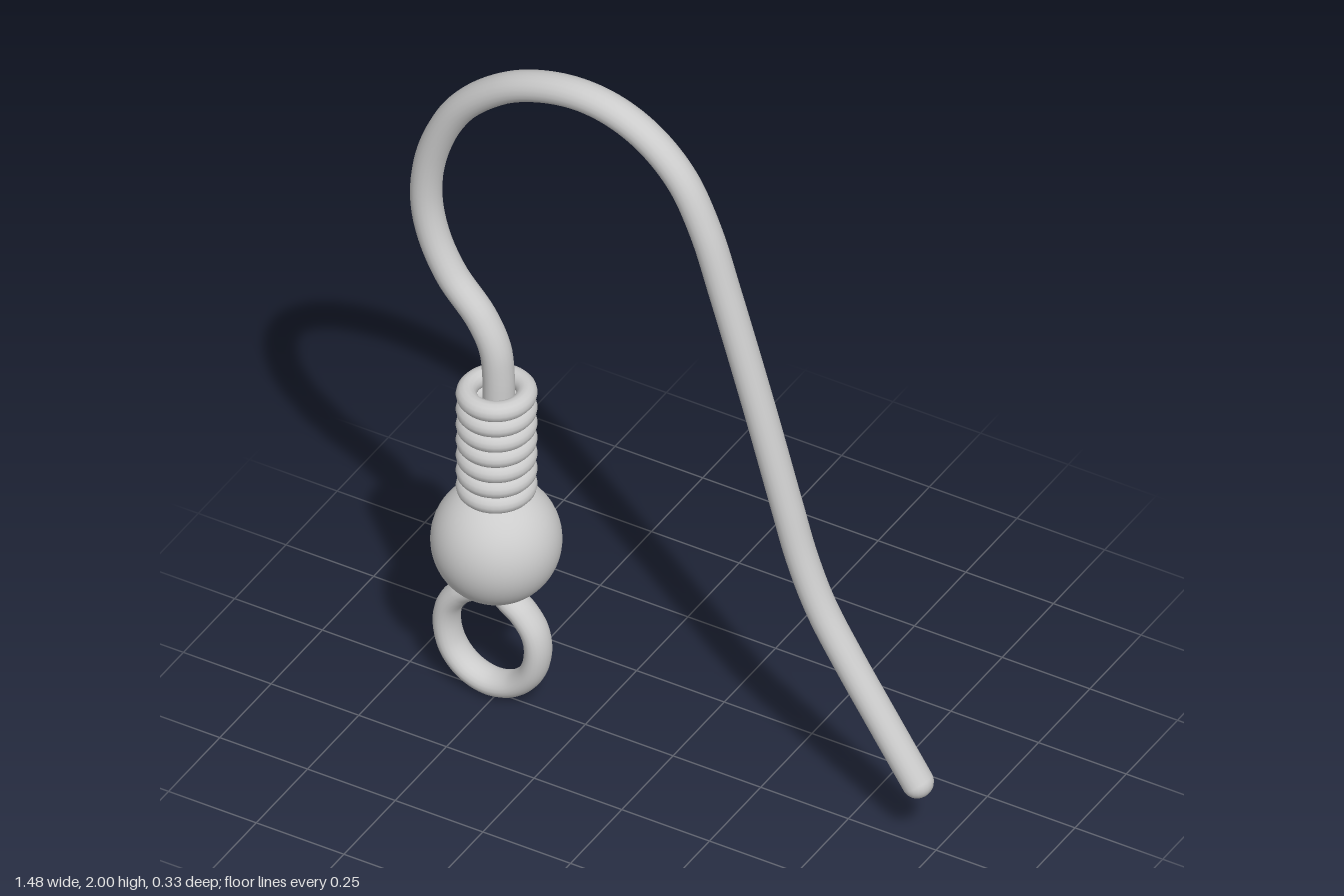
import * as THREE from 'three';

const material = new THREE.MeshStandardMaterial({ color: 0xcccccc });
const AXIS_X = -0.503; // vertical axis shared by coil and bead

function add(parent, name, geometry, x = 0, y = 0, z = 0) {
  const mesh = new THREE.Mesh(geometry, material);
  mesh.name = name;
  mesh.position.set(x, y, z);
  parent.add(mesh);
  return mesh;
}

// Round wire with domed ends, following points in the xy plane
function wire(name, points, radius, depthScale, segments) {
  const group = new THREE.Group();
  group.name = name;
  const path = new THREE.CatmullRomCurve3(points.map(([x, y]) => new THREE.Vector3(x, y, 0)), false, 'centripetal');
  add(group, name + 'Tube', new THREE.TubeGeometry(path, segments, radius, 20, false));
  for (const t of [0, 1]) {
    const p = path.getPoint(t);
    add(group, name + 'Tip', new THREE.SphereGeometry(radius, 20, 14), p.x, p.y, 0);
  }
  group.scale.z = depthScale;
  return group;
}

export function createModel() {
  const model = new THREE.Group();
  model.name = 'earringHook';

  // Long hook: up from the bead, over the arch and down the straight leg
  model.add(wire('hookWire', [
    [-0.5, 0.5], [-0.5, 0.75], [-0.498, 1.0], [-0.509, 1.08], [-0.548, 1.158], [-0.632, 1.258],
    [-0.685, 1.37], [-0.704, 1.49], [-0.681, 1.635], [-0.606, 1.785], [-0.484, 1.895],
    [-0.37, 1.945], [-0.257, 1.961], [-0.155, 1.944], [-0.06, 1.895], [0.026, 1.808], [0.092, 1.677],
    [0.15, 1.5], [0.246, 1.185], [0.325, 0.91], [0.368, 0.765], [0.422, 0.633], [0.5, 0.5],
    [0.6, 0.345], [0.698, 0.195],
  ], 0.039, 1.1, 220));

  // Stacked coil turns around the wire
  const coil = new THREE.Group();
  coil.name = 'coil';
  for (let i = 0; i < 7; i++) {
    const ring = add(coil, 'coilTurn', new THREE.TorusGeometry(0.074, 0.026, 14, 40), AXIS_X, 0.654 + i * 0.0475, 0);
    ring.rotation.x = Math.PI / 2;
    ring.scale.y = 1.04;
  }
  model.add(coil);

  // Bead with slightly flattened poles
  const profile = [new THREE.Vector2(0, -0.155)];
  for (let i = 0; i <= 28; i++) {
    const a = THREE.MathUtils.lerp(-1.2, 1.2, i / 28);
    profile.push(new THREE.Vector2(0.163 * Math.cos(a), 0.155 * Math.sin(a) / Math.sin(1.2)));
  }
  profile.push(new THREE.Vector2(0, 0.155));
  add(model, 'bead', new THREE.LatheGeometry(profile, 48), AXIS_X - 0.001, 0.484, 0);

  // Teardrop loop, mirrored about its own axis, both ends tucked into the bead
  const half = [[0.022, 0.36], [0.04, 0.322], [0.088, 0.283], [0.121, 0.235], [0.13, 0.175], [0.112, 0.106], [0.065, 0.055]];
  const loopX = -0.515;
  model.add(wire('hangingLoop', [
    ...half.map(([x, y]) => [loopX - x, y]),
    [loopX, 0.036],
    ...half.map(([x, y]) => [loopX + x, y]).reverse(),
  ], 0.032, 1.35, 100));

  return model;
}
